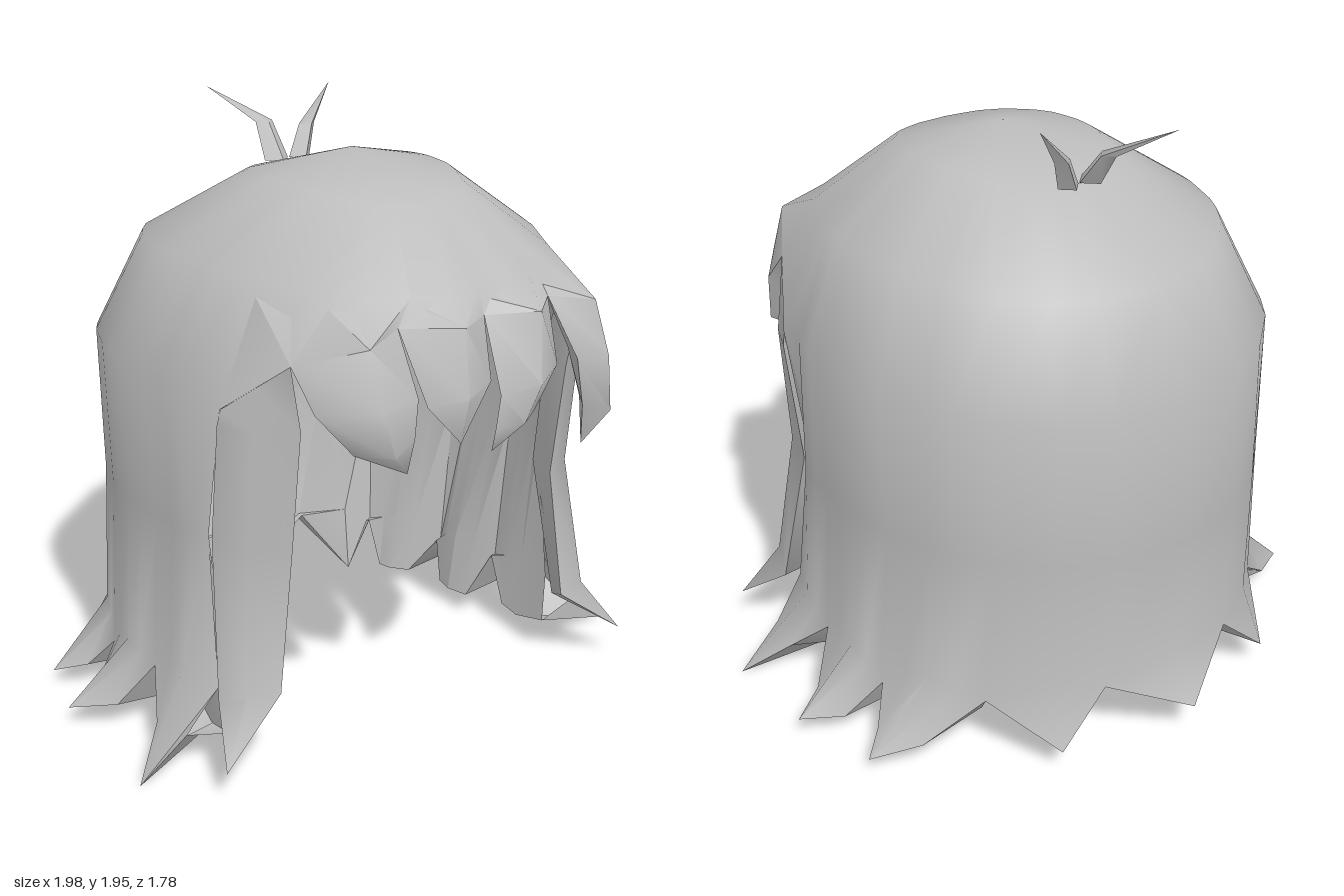
import * as THREE from 'three';
import { toCreasedNormals } from 'three/addons/utils/BufferGeometryUtils.js';

const hair = new THREE.MeshStandardMaterial({ color: 0xbcbcbc, side: THREE.DoubleSide });
hair.name = 'grey hair';

// Plan of one half, back to front: base [x, z], base height y, optional flared
// hem point tip [x, y, z], hem thickness d, or brow point where the fringe starts.
const HALF = [
  { p: [0, -0.79], y: 0.3, tip: [0, 0.14, -0.89], d: 0.22 },
  { p: [0.26, -0.75], y: 0.26, d: 0.15 },
  { p: [0.42, -0.68], y: 0.3, tip: [0.44, 0.1, -0.76], d: 0.24 },
  { p: [0.58, -0.55], y: 0.24, d: 0.15 },
  { p: [0.65, -0.46], y: 0.26, tip: [0.76, 0.1, -0.46], d: 0.18 },
  { p: [0.69, -0.39], y: 0.28, tip: [0.91, 0.07, -0.38], d: 0.2 },
  { p: [0.72, -0.31], y: 0.26, tip: [0.82, 0.1, -0.3], d: 0.18 },
  { p: [0.75, -0.23], y: 0.2, d: 0.13 },
  { p: [0.765, -0.16], y: 0.26, tip: [0.86, 0.08, -0.17], d: 0.18 },
  { p: [0.77, -0.09], y: 0.28, tip: [0.99, 0.09, -0.1], d: 0.2 },
  { p: [0.77, -0.01], y: 0.27, tip: [0.86, 0.1, -0.01], d: 0.18 },
  { p: [0.76, 0.07], y: 0.25, d: 0.12 },
  { p: [0.75, 0.15], y: 0.28, tip: [0.83, 0.13, 0.2], d: 0.12 },
  { p: [0.74, 0.22], y: 0.3, tip: [0.96, 0.01, 0.32], d: 0.1 },
  { p: [0.69, 0.35], y: 0.28, tip: [0.8, 0.14, 0.335], d: 0.04, edge: true },
  { p: [0.57, 0.56], brow: [0.55, 1.36, 0.56] },
  { p: [0.42, 0.7], brow: [0.42, 1.44, 0.76] },
  { p: [0.28, 0.75], brow: [0.28, 1.46, 0.7] },
  { p: [0.14, 0.79], brow: [0.14, 1.47, 0.83] },
  { p: [0, 0.79], brow: [0, 1.46, 0.74] },
];
const COLUMNS = [
  ...HALF.map((c) => ({ ...c, side: 1 })),
  ...HALF.slice(1, -1).reverse().map((c) => ({ ...c, side: -1 })),
];

// Rings from crown to hem: height, half width, centre z, half depth.
const RINGS = [
  [1.84, 0, 0.08, 0],
  [1.775, 0.3, 0.09, 0.375],
  [1.57, 0.6, 0.03, 0.68],
  [1.25, 0.75, -0.02, 0.77],
  [0.77, 0.74, 0, 0.81],
  [0.28, 0.77, 0, 0.79],
];

// One vertical line of the cap, outer surface or thickened lining.
function columnPoints(col, inner) {
  const [px, pz] = col.p;
  const len = Math.hypot(px ** 3, pz ** 3);
  const inward = [-(px ** 3) / len, -(pz ** 3) / len];
  const points = RINGS.slice(0, col.brow ? 3 : 6).map(([y, w, zc, depth], r) => {
    let x = (px / 0.77) * w;
    let z = zc + (pz / 0.79) * depth;
    if (r > 0 && r < 5) y -= 0.04 * (pz / 0.79) ** 2;
    if (r === 5) y = col.y;
    if (col.edge && r === 3) [y, z] = [1.2, 0.37];
    if (col.edge && r === 4) z = 0.27;
    if (inner) {
      const t = r === 5 ? col.d * 0.85 : col.edge ? 0 : 0.025;
      x += inward[0] * t;
      z += inward[1] * t;
      if (r < 3) y -= 0.02;
    }
    return [x, y, z];
  });
  if (col.brow) {
    points.push(col.brow);
  } else {
    const hem = col.tip || [px, col.y, pz];
    points.push(inner
      ? [px + inward[0] * col.d, col.tip ? Math.max(0.07, hem[1] - 0.04) : col.y, pz + inward[1] * col.d]
      : hem);
  }
  return points.map(([x, y, z]) => [x * col.side, y, z]);
}

const same = (a, b) => a.every((v, i) => Math.abs(v - b[i]) < 1e-6);

function addQuad(out, a, b, c, d) {
  for (const t of [[a, b, c], [a, c, d]]) {
    if (same(t[0], t[1]) || same(t[1], t[2]) || same(t[0], t[2])) continue;
    t.forEach((p) => out.push(...p));
  }
}

function makeMesh(name, positions, crease) {
  const g = new THREE.BufferGeometry();
  g.setAttribute('position', new THREE.Float32BufferAttribute(positions, 3));
  const mesh = new THREE.Mesh(toCreasedNormals(g, crease), hair);
  mesh.name = name;
  return mesh;
}

// Cap of hair: outer surface, inner lining and the hem joining them.
function buildCap() {
  const group = new THREE.Group();
  group.name = 'hairCap';
  const outer = COLUMNS.map((c) => columnPoints(c, false));
  const inner = COLUMNS.map((c) => columnPoints(c, true));
  const shell = [], lining = [], hem = [];
  COLUMNS.forEach((c, i) => {
    const j = (i + 1) % COLUMNS.length;
    const rows = Math.min(outer[i].length, outer[j].length);
    for (let r = 0; r < rows - 1; r++) {
      addQuad(shell, outer[i][r], outer[j][r], outer[j][r + 1], outer[i][r + 1]);
      addQuad(lining, inner[j][r], inner[i][r], inner[i][r + 1], inner[j][r + 1]);
    }
    if (rows === 7) addQuad(hem, outer[i][6], outer[j][6], inner[j][6], inner[i][6]);
  });
  group.add(makeMesh('outerHair', shell, 1.1));
  group.add(makeMesh('innerLining', lining, 0.4));
  group.add(makeMesh('hemUnderside', hem, 0.6));
  return group;
}

// Pointed lock: rings of four corners closing on a tip.
function buildLock(name, sections, tip, side = 1) {
  const out = [];
  const flip = ([x, y, z]) => [x * side, y, z];
  const rings = [...sections, [tip, tip, tip, tip]].map((s) => {
    const ring = s.map(flip);
    return side < 0 ? ring.reverse() : ring;
  });
  for (let r = 0; r < rings.length - 1; r++) {
    for (let i = 0; i < 4; i++) {
      const j = (i + 1) % 4;
      addQuad(out, rings[r][i], rings[r + 1][i], rings[r + 1][j], rings[r][j]);
    }
  }
  return makeMesh(name, out, 1.25);
}

// Small upright strand following centres with given radii.
function buildSprig(name, stations, tip) {
  const sections = stations.map(([x, y, z, r]) => [
    [x - r, y, z], [x, y, z - r], [x + r, y, z], [x, y, z + r],
  ]);
  return buildLock(name, sections, tip);
}

export function createModel() {
  const model = new THREE.Group();
  model.name = 'hairpiece';
  model.add(buildCap());

  // Fringe locks, corners in order left, front, right, back
  model.add(buildLock('fringeOuterRight', [
    [[-0.55, 1.36, 0.56], [-0.42, 1.44, 0.76], [-0.28, 1.46, 0.7], [-0.4, 1.4, 0.57]],
    [[-0.55, 1.25, 0.68], [-0.42, 1.27, 0.83], [-0.28, 1.28, 0.8], [-0.42, 1.25, 0.64]],
    [[-0.46, 1.13, 0.74], [-0.38, 1.13, 0.83], [-0.29, 1.16, 0.8], [-0.38, 1.15, 0.7]],
  ], [-0.3, 1.05, 0.78]));
  model.add(buildLock('fringeInnerRight', [
    [[-0.28, 1.46, 0.7], [-0.14, 1.47, 0.83], [0, 1.46, 0.74], [-0.15, 1.42, 0.66]],
    [[-0.27, 1.26, 0.83], [-0.17, 1.28, 0.89], [-0.05, 1.3, 0.84], [-0.15, 1.26, 0.74]],
  ], [-0.155, 1.13, 0.84]));
  model.add(buildLock('fringeInnerLeft', [
    [[0, 1.46, 0.74], [0.14, 1.47, 0.83], [0.28, 1.46, 0.7], [0.14, 1.42, 0.66]],
    [[-0.02, 1.25, 0.85], [0.1, 1.27, 0.89], [0.22, 1.29, 0.82], [0.1, 1.25, 0.74]],
    [[-0.035, 1.15, 0.85], [0.05, 1.16, 0.88], [0.13, 1.17, 0.83], [0.05, 1.15, 0.78]],
  ], [-0.04, 1.08, 0.84]));
  model.add(buildLock('fringeOuterLeft', [
    [[0.28, 1.46, 0.7], [0.42, 1.44, 0.76], [0.55, 1.36, 0.56], [0.4, 1.4, 0.57]],
    [[0.32, 1.28, 0.8], [0.42, 1.28, 0.83], [0.55, 1.25, 0.66], [0.43, 1.25, 0.64]],
    [[0.36, 1.12, 0.79], [0.44, 1.1, 0.83], [0.53, 1.08, 0.7], [0.45, 1.1, 0.68]],
  ], [0.39, 0.98, 0.76]));

  // Long locks in front of the ears
  for (const side of [1, -1]) {
    model.add(buildLock(side > 0 ? 'sideLockLeft' : 'sideLockRight', [
      [[0.55, 1.36, 0.56], [0.61, 1.28, 0.465], [0.67, 1.2, 0.37], [0.56, 1.28, 0.42]],
      [[0.51, 1.15, 0.55], [0.63, 1.15, 0.48], [0.68, 1.15, 0.365], [0.54, 1.15, 0.42]],
      [[0.51, 0.76, 0.5], [0.63, 0.76, 0.44], [0.67, 0.76, 0.3], [0.54, 0.76, 0.38]],
      [[0.57, 0.3, 0.52], [0.68, 0.31, 0.5], [0.72, 0.26, 0.4], [0.62, 0.25, 0.42]],
    ], [0.8, 0.13, 0.575], side));
  }

  // Stray strands on the crown
  model.add(buildSprig('crownStrandRight',
    [[-0.04, 1.74, -0.29, 0.045], [-0.03, 1.85, -0.38, 0.032]], [-0.14, 1.95, -0.56]));
  model.add(buildSprig('crownStrandLeft',
    [[0.05, 1.74, -0.29, 0.04], [0.1, 1.84, -0.32, 0.03]], [0.21, 1.96, -0.35]));
  return model;
}
